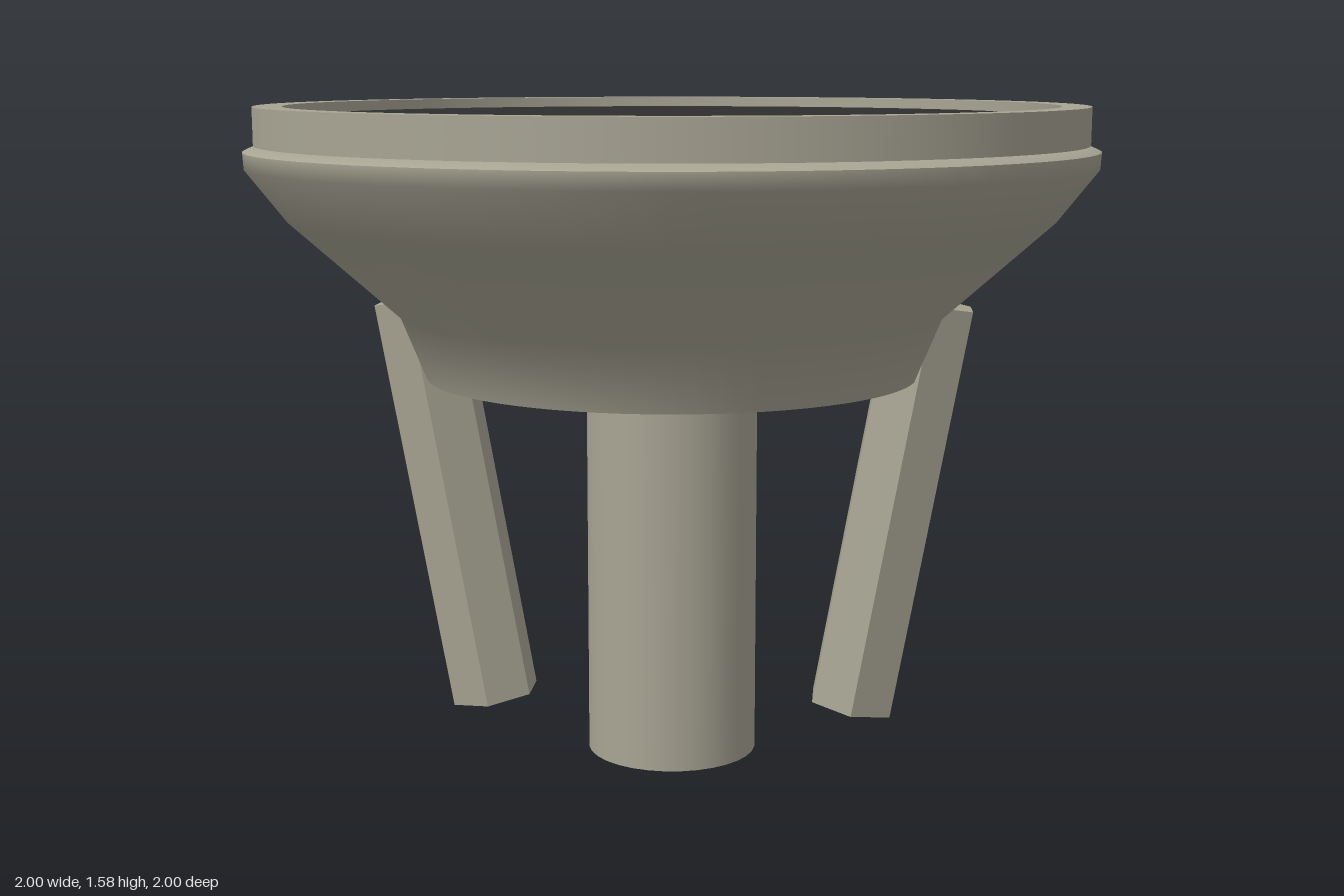
import * as THREE from 'three';

export function createModel() {
  const model = new THREE.Group();
  const stone = new THREE.MeshStandardMaterial({ color: 0xa8a594 });
  stone.name = 'warm grey';
  const dark = new THREE.MeshStandardMaterial({ color: 0x2e2e2e });
  dark.name = 'charcoal';

  const add = (name, geometry, material = stone, parent = model) => {
    const mesh = new THREE.Mesh(geometry, material);
    mesh.name = name;
    parent.add(mesh);
    return mesh;
  };
  // Turned surface, profile listed from the bottom up
  const turned = (points) =>
    new THREE.LatheGeometry(points.map(([r, y]) => new THREE.Vector2(r, y)), 72);

  // Central column
  add('column', new THREE.CylinderGeometry(0.207, 0.207, 0.96, 32)).position.y = 0.48;

  // Bowl: flat underside, smooth flared wall and a crisp lip
  const bowl = new THREE.Group();
  bowl.name = 'bowl';
  model.add(bowl);
  add('bowlUnderside', turned([[0, 0.94], [0.59, 0.94]]), stone, bowl);
  add('bowlWall', turned([[0.59, 0.94], [0.65, 1.09], [0.905, 1.32], [0.998, 1.44], [1, 1.478]]), stone, bowl);
  add('bowlLip', turned([[1, 1.478], [0.97, 1.492], [0.9, 1.492]]), stone, bowl);

  // Raised rim, built one face at a time to keep its edges sharp
  const rim = new THREE.Group();
  rim.name = 'rim';
  model.add(rim);
  const section = [[0.9, 1.492], [0.975, 1.492], [0.975, 1.58], [0.907, 1.58], [0.907, 1.55]];
  for (let i = 1; i < section.length; i++) {
    add('rimFace' + i, turned([section[i - 1], section[i]]), stone, rim);
  }

  // Recessed dark top
  const top = add('topPanel', new THREE.CircleGeometry(0.907, 72), dark);
  top.rotation.x = -Math.PI / 2;
  top.position.y = 1.555;

  // Two hexagonal legs leaning outwards
  const legGeometry = new THREE.CylinderGeometry(0.111, 0.111, 1.015, 6).toNonIndexed();
  legGeometry.computeVertexNormals();
  for (const side of [1, -1]) {
    const leg = add(side > 0 ? 'leftLeg' : 'rightLeg', legGeometry);
    leg.position.set(side * 0.533, 0.618, 0);
    leg.rotation.z = -side * THREE.MathUtils.degToRad(10);
  }

  return model;
}
